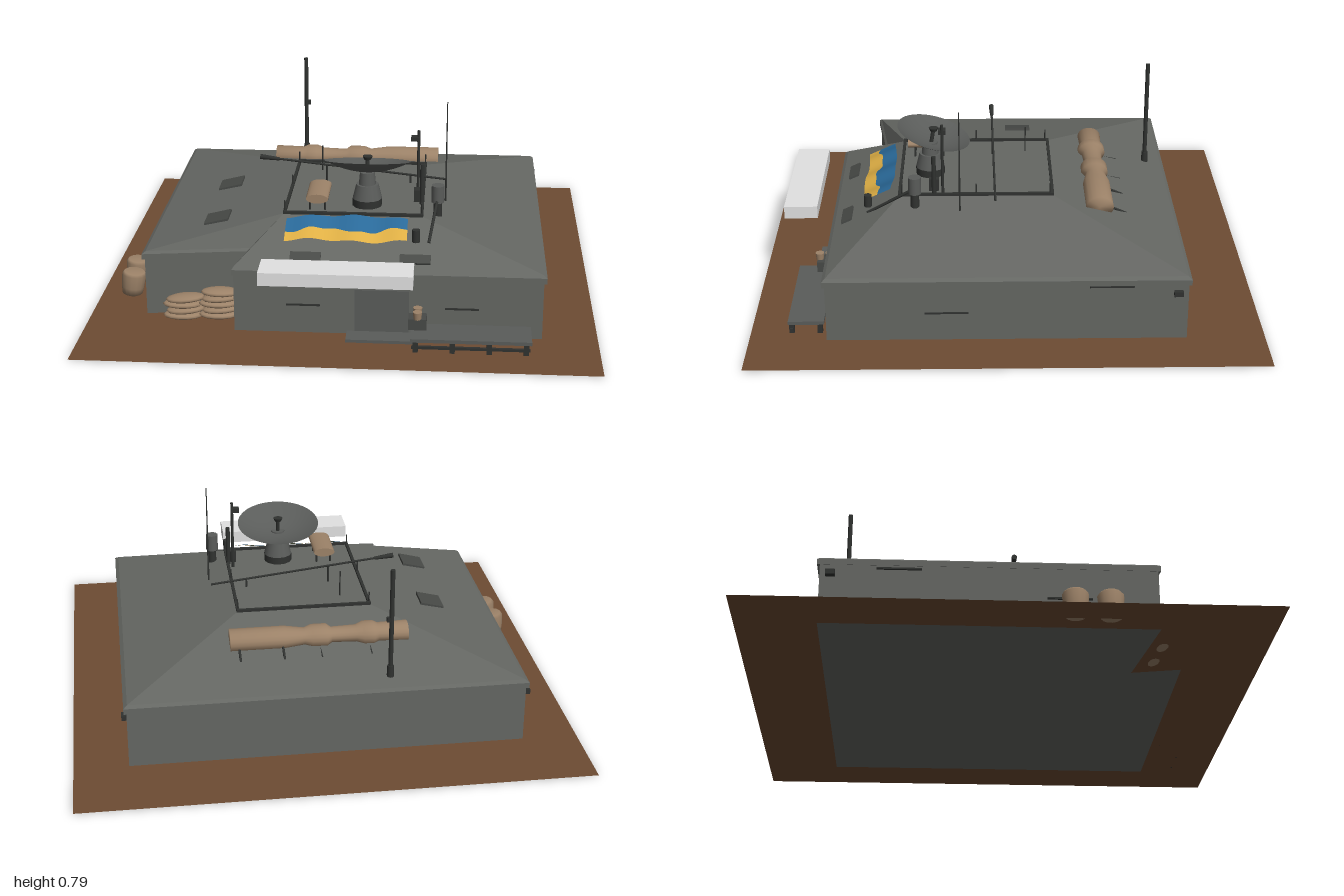
import * as THREE from 'three';
import { ParametricGeometry } from 'three/addons/geometries/ParametricGeometry.js';

const mat = (name, color, side = THREE.FrontSide) => {
  const m = new THREE.MeshStandardMaterial({ color, side });
  m.name = name;
  return m;
};

export function createModel() {
  const g = new THREE.Group();
  const plaster = mat('grey plaster', 0x656763, THREE.DoubleSide);
  const earth = mat('brown earth', 0x6e4c33, THREE.DoubleSide);
  const dark = mat('dark metal', 0x303230);
  const metal = mat('grey metal', 0x5a5c5a, THREE.DoubleSide);
  const shade = mat('hatch grey', 0x484a47);
  const canvas = mat('tan canvas', 0x9c8268);
  const blue = mat('blue cloth', 0x2a6a9a, THREE.DoubleSide);
  const yellow = mat('yellow cloth', 0xe0b045, THREE.DoubleSide);
  const white = mat('pale panel', 0xe2e2e2);

  const add = (name, geo, m, x = 0, y = 0, z = 0, rx = 0, ry = 0, rz = 0) => {
    const mesh = new THREE.Mesh(geo, m);
    mesh.name = name;
    mesh.position.set(x, y, z);
    mesh.rotation.set(rx, ry, rz);
    g.add(mesh);
    return mesh;
  };
  const box = (name, m, w, h, d, ...p) => add(name, new THREE.BoxGeometry(w, h, d), m, ...p);
  const cyl = (name, m, r1, r2, h, ...p) => add(name, new THREE.CylinderGeometry(r1, r2, h, 14), m, ...p);
  // Rod between two points
  const rod = (name, m, a, b, r, r2 = r) => {
    const A = new THREE.Vector3(...a), B = new THREE.Vector3(...b);
    const mesh = cyl(name, m, r2, r, A.distanceTo(B));
    mesh.position.copy(A).lerp(B, 0.5);
    mesh.quaternion.setFromUnitVectors(new THREE.Vector3(0, 1, 0), B.sub(A).normalize());
    return mesh;
  };
  // Flat-faced surface through rings of equal point count
  const loft = (rings) => {
    const pos = [];
    for (let k = 0; k < rings.length - 1; k++) {
      const lo = rings[k], hi = rings[k + 1], n = lo.length;
      for (let i = 0; i < n; i++) {
        const j = (i + 1) % n;
        pos.push(...lo[i], ...lo[j], ...hi[j], ...lo[i], ...hi[j], ...hi[i]);
      }
    }
    const geo = new THREE.BufferGeometry();
    geo.setAttribute('position', new THREE.Float32BufferAttribute(pos, 3));
    geo.computeVertexNormals();
    return geo;
  };

  // Footprint with a notch at the front corner
  const foot = [[-0.78, 0.57], [-0.37, 0.51], [-0.41, 0.7], [0.785, 0.7], [0.785, -0.695], [-0.78, -0.695]];
  const rim = [[-0.24, 0.4], [-0.24, 0.43], [-0.24, 0.43], [0.31, 0.43], [0.31, -0.19], [-0.24, -0.19]];
  const ring = (pts, y, s = 1) => pts.map(([x, z]) => [x * s, y, z * s]);
  const outline = foot.map(([x, z]) => new THREE.Vector2(x, -z));

  // Ground with the building cut out, and the building's underside
  const land = new THREE.Shape([[-1, -1], [1, -1], [1, 1], [-1, 1]].map((p) => new THREE.Vector2(...p)));
  land.holes.push(new THREE.Path(outline));
  add('ground', new THREE.ShapeGeometry(land), earth, 0, 0, 0, -Math.PI / 2);
  add('floor', new THREE.ShapeGeometry(new THREE.Shape(outline)), plaster, 0, 0, 0, -Math.PI / 2);

  // Walls, eave lip and sloping roof
  add('walls', loft([ring(foot, 0), ring(foot, 0.24)]), plaster);
  add('roof', loft([ring(foot, 0.24), ring(foot, 0.235, 1.014), ring(foot, 0.258, 1.014),
    ring(foot, 0.268, 0.995), ring(rim, 0.39)]), plaster);
  box('roofTop', plaster, 0.55, 0.01, 0.62, 0.035, 0.385, 0.12);

  // Low frame around the roof top
  for (const s of [-1, 1]) {
    box('roofFrameSide', dark, 0.012, 0.012, 0.63, 0.035 + s * 0.273, 0.394, 0.12);
    box('roofFrameEnd', dark, 0.55, 0.012, 0.012, 0.035, 0.394, 0.12 + s * 0.31);
    for (const z of [-0.18, 0.12, 0.42]) cyl('framePost', dark, 0.003, 0.003, 0.05, 0.035 + s * 0.273, 0.415, z);
  }
  cyl('thinPost', dark, 0.003, 0.003, 0.11, -0.13, 0.445, -0.09);

  // Roof hatches
  const side = Math.atan(0.25), front = Math.atan(0.46);
  for (const z of [-0.065, 0.34]) box('sideHatch', shade, 0.1, 0.015, 0.11, -0.52, 0.327, z, 0, 0, side);
  for (const x of [-0.135, 0.29]) box('frontHatch', shade, 0.12, 0.015, 0.045, x, 0.293, 0.645, front);

  // Doorway, firing slits and lamps
  box('door', metal, 0.21, 0.185, 0.008, 0.165, 0.0945, 0.701);
  for (const x of [-0.14, 0.475]) box('frontSlit', dark, 0.13, 0.007, 0.008, x, 0.117, 0.7);
  for (const s of [-1, 1]) {
    for (const z of [0.235, -0.4]) box('sideSlit', dark, 0.008, 0.007, 0.17, s * 0.784, z > 0 ? 0.117 : 0.226, z);
    box('cornerLamp', dark, 0.03, 0.02, 0.035, s * 0.79, 0.2, -0.655);
  }
  box('doorLamp', dark, 0.045, 0.018, 0.02, 0.14, 0.21, 0.703);

  // Pale box floating before the front
  box('palePanel', white, 0.58, 0.052, 0.135, 0, 0.307, 0.835);

  // Two-colour cloth draped on the front slope
  const wave = (x) => 0.53 + 0.012 * Math.sin(x * 22) + 0.004 * Math.sin(x * 60);
  const cloth = (name, m, z0, z1) => add(name, new ParametricGeometry((u, v, t) => {
    const x = -0.225 + u * 0.48;
    const z = THREE.MathUtils.lerp(z0(x), z1(x), v);
    t.set(x, 0.39 - (z - 0.43) * 0.46 + 0.02 + 0.005 * Math.sin(x * 35), z);
  }, 32, 4), m);
  cloth('blueCloth', blue, (x) => 0.458 + 0.1 * Math.max(0, Math.abs(x - 0.03) - 0.1), wave);
  cloth('yellowCloth', yellow, wave, (x) => 0.582 + 0.005 * Math.sin(x * 18));

  // Dish on a tapered pedestal
  const bowl = [];
  for (let i = 0; i <= 8; i++) bowl.push(new THREE.Vector2(0.175 * i / 8, 0.045 * (i / 8) ** 2));
  const dish = add('dish', new THREE.LatheGeometry(bowl, 32), metal, 0.085, 0.527, 0.305, -0.25);
  dish.scale.z = 0.88;
  rod('dishFeed', dark, [0.085, 0.527, 0.305], [0.085, 0.585, 0.295], 0.008);
  cyl('feedHead', dark, 0.02, 0.014, 0.014, 0.085, 0.585, 0.295);
  cyl('pedestal', metal, 0.045, 0.06, 0.06, 0.085, 0.45, 0.31);
  cyl('pedestalNeck', metal, 0.03, 0.035, 0.05, 0.085, 0.505, 0.31);
  cyl('pedestalBase', dark, 0.06, 0.06, 0.032, 0.085, 0.405, 0.31);

  // Canvas pack on a stand
  const pack = add('pack', new THREE.CylinderGeometry(0.045, 0.045, 0.18, 18), canvas, -0.11, 0.445, 0.32, Math.PI / 2);
  pack.scale.z = 0.42;
  for (const x of [-0.14, -0.08]) for (const z of [0.26, 0.38]) cyl('packLeg', dark, 0.004, 0.004, 0.045, x, 0.412, z);

  // Long roll on the back slope with straps
  const prof = [[0, -0.36], [0.05, -0.36], [0.046, -0.24], [0.058, -0.22], [0.058, -0.18], [0.042, -0.15],
    [0.038, -0.05], [0.056, -0.03], [0.056, 0.03], [0.042, 0.06], [0.056, 0.14], [0.056, 0.36], [0, 0.36]];
  const roll = add('canvasRoll', new THREE.LatheGeometry(prof.map((p) => new THREE.Vector2(...p)), 18), canvas,
    0, 0.357, -0.38, 0, 0, -Math.PI / 2);
  roll.scale.x = 0.8;
  for (const x of [-0.2, 0, 0.15, 0.325]) {
    rod('rollBar', dark, [x, 0.313, -0.49], [x, 0.36, x > 0.1 ? -0.38 : -0.28], 0.005);
  }

  // Masts and aerials
  rod('backMast', dark, [-0.25, 0.27, -0.62], [-0.25, 0.74, -0.62], 0.009);
  cyl('backMastFoot', dark, 0.013, 0.015, 0.06, -0.25, 0.3, -0.62);
  box('mastBracket', dark, 0.022, 0.02, 0.012, -0.242, 0.53, -0.62);
  rod('whipAerial', dark, [0.4, 0.33, 0.185], [0.4, 0.79, 0.185], 0.004, 0.002);
  rod('cameraMast', dark, [0.288, 0.39, 0.255], [0.288, 0.69, 0.255], 0.006);
  box('cameraHead', dark, 0.035, 0.018, 0.03, 0.275, 0.657, 0.255);
  rod('sidePole', dark, [0.305, 0.38, 0.29], [0.305, 0.56, 0.29], 0.009);
  box('sidePoleBox', dark, 0.025, 0.05, 0.04, 0.285, 0.43, 0.29);
  cyl('canister', metal, 0.026, 0.026, 0.07, 0.37, 0.465, 0.365);
  cyl('canisterPost', dark, 0.016, 0.02, 0.1, 0.37, 0.385, 0.365);
  rod('canisterBrace', dark, [0.34, 0.33, 0.56], [0.37, 0.45, 0.365], 0.006);
  cyl('frontPost', dark, 0.016, 0.016, 0.05, 0.29, 0.36, 0.56);
  rod('crossPole', dark, [-0.38, 0.495, 0.053], [0.4, 0.41, 0.043], 0.0045);
  rod('crossPoleGrip', dark, [-0.38, 0.495, 0.053], [-0.3, 0.486, 0.052], 0.011, 0.007);
  rod('crossPoleStand', dark, [-0.1, 0.39, 0.05], [-0.1, 0.463, 0.05], 0.004);
  rod('crossPoleStand', dark, [0.25, 0.39, 0.045], [0.25, 0.425, 0.045], 0.004);

  // Sandbag wall in the notch
  for (let r = 0; r < 5; r++) {
    for (let i = 0; i < (r > 3 ? 1 : 2); i++) {
      const x = (r > 3 ? -0.48 : -0.63 + i * 0.14) + (r % 2) * 0.012;
      const bag = add('sandbag', new THREE.SphereGeometry(1, 14, 8), canvas, x, 0.014 + r * 0.024,
        0.6 - (x + 0.63) * 0.1, 0, 0.16, (r % 2 ? 1 : -1) * 0.05);
      bag.scale.set(0.078, 0.016, 0.042);
    }
  }

  // Two sacks standing to one side
  for (const [x, z, lean] of [[-0.885, 0.245, -0.1], [-0.88, 0.375, -0.14]]) {
    const sack = [[0, 0], [0.042, 0], [0.046, 0.03], [0.05, 0.085], [0.042, 0.095], [0, 0.095]];
    add('sack', new THREE.LatheGeometry(sack.map((p) => new THREE.Vector2(...p)), 14), canvas, x, 0.002, z, 0, 0, lean);
  }

  // Platform, step and small jars by the door
  box('platform', metal, 0.46, 0.014, 0.14, 0.51, 0.05, 0.783);
  box('step', metal, 0.26, 0.012, 0.08, 0.16, 0.008, 0.745);
  for (const x of [0.3, 0.44, 0.58, 0.72]) for (const z of [0.73, 0.84]) box('platformLeg', dark, 0.02, 0.044, 0.02, x, 0.022, z);
  box('platformRail', dark, 0.45, 0.01, 0.012, 0.51, 0.018, 0.84);
  box('crate', shade, 0.07, 0.045, 0.06, 0.305, 0.08, 0.745);
  for (const z of [0.725, 0.765]) cyl('jar', canvas, 0.018, 0.015, 0.03, 0.305, 0.115, z);

  return g;
}
